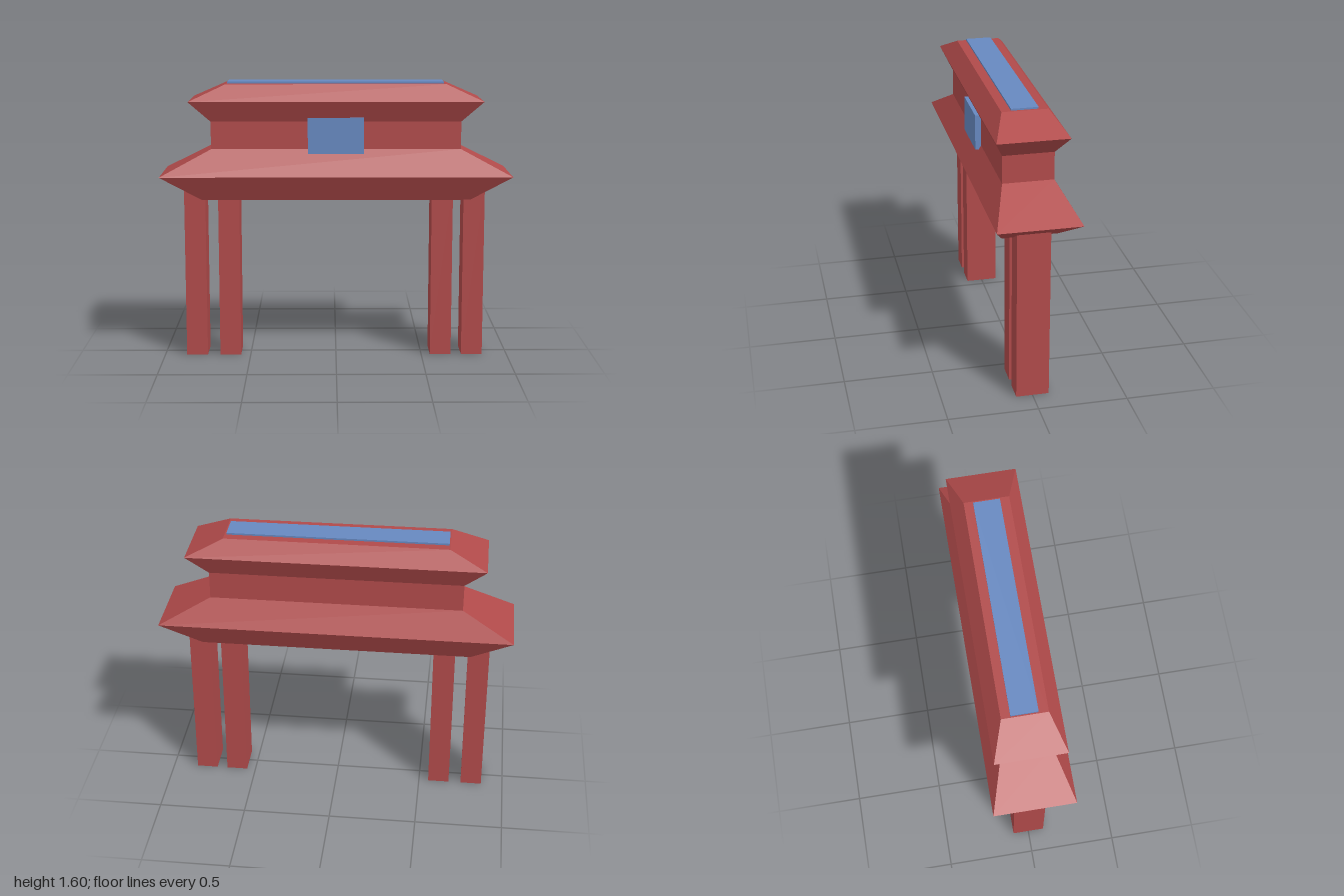
import * as THREE from 'three';

const red = new THREE.MeshStandardMaterial({ color: 0xb04a4a, flatShading: true });
const blue = new THREE.MeshStandardMaterial({ color: 0x6688c0, flatShading: true });

// Closed loft through rectangles given as [y, half width, half depth], bottom to top
function loftRectangles(sections) {
  const positions = [];
  const indices = [];
  for (const [y, w, d] of sections) {
    positions.push(-w, y, d, w, y, d, w, y, -d, -w, y, -d);
  }
  for (let s = 0; s < sections.length - 1; s++) {
    for (let i = 0; i < 4; i++) {
      const a = s * 4 + i;
      const b = s * 4 + (i + 1) % 4;
      indices.push(a, b, b + 4, a, b + 4, a + 4);
    }
  }
  const t = (sections.length - 1) * 4;
  indices.push(0, 2, 1, 0, 3, 2, t, t + 1, t + 2, t, t + 2, t + 3);
  const indexed = new THREE.BufferGeometry();
  indexed.setAttribute('position', new THREE.Float32BufferAttribute(positions, 3));
  indexed.setIndex(indices);
  const geometry = indexed.toNonIndexed();
  geometry.computeVertexNormals();
  return geometry;
}

// Box given by its lower and upper corners
function box(name, material, min, max) {
  const size = max.map((v, i) => v - min[i]);
  const mesh = new THREE.Mesh(new THREE.BoxGeometry(...size), material);
  mesh.position.set(...max.map((v, i) => (v + min[i]) / 2));
  mesh.name = name;
  return mesh;
}

export function createModel() {
  const model = new THREE.Group();
  model.name = 'gate';

  // Lower eaves, straight neck and upper roof in one body
  const roof = new THREE.Mesh(loftRectangles([
    [0.93, 0.765, 0.155],
    [1.07, 1.0, 0.23],
    [1.22, 0.71, 0.141],
    [1.377, 0.71, 0.141],
    [1.493, 0.833, 0.197],
    [1.587, 0.625, 0.126],
  ]), red);
  roof.name = 'roof';
  model.add(roof);

  // Paired posts on each side, running up into the eaves
  const posts = new THREE.Group();
  posts.name = 'posts';
  const postCentres = { outerPostRight: -0.812, innerPostRight: -0.617, innerPostLeft: 0.612, outerPostLeft: 0.795 };
  for (const [name, x] of Object.entries(postCentres)) {
    posts.add(box(name, red, [x - 0.061, 0, -0.092], [x + 0.061, 1.0, 0.092]));
  }
  model.add(posts);

  // Plaque on the front and thin strip along the ridge
  model.add(box('plaque', blue, [-0.16, 1.197, 0.135], [0.157, 1.4, 0.174]));
  model.add(box('ridgeStrip', blue, [-0.618, 1.58, -0.075], [0.614, 1.597, 0.073]));

  return model;
}
